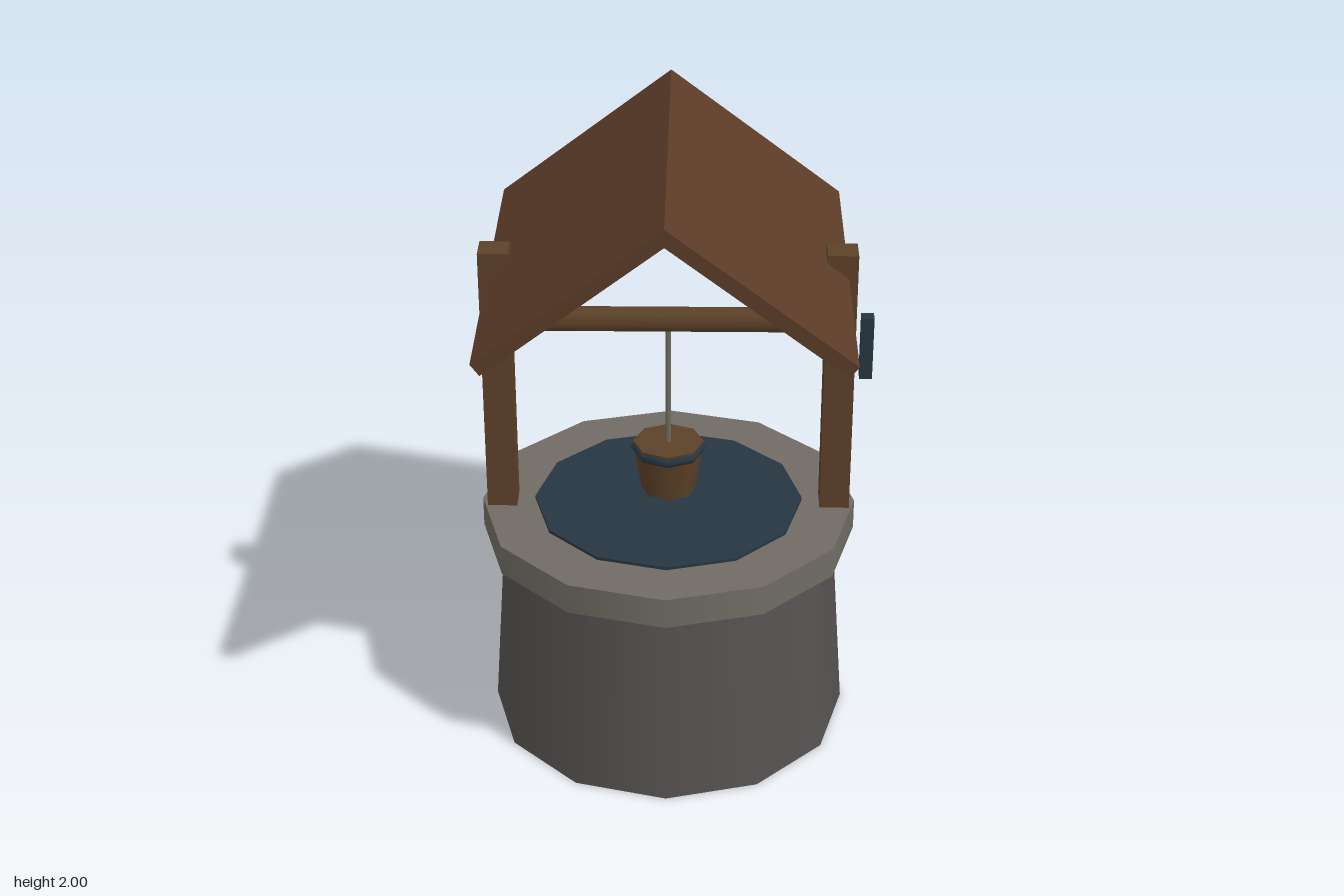
import * as THREE from 'three';

const mat = (name, color) => new THREE.MeshStandardMaterial({ name, color });

export function createModel() {
  const stone = mat('dark stone', 0x565251);
  const rimStone = mat('light stone', 0x706c64);
  const wood = mat('timber', 0x5c4128);
  const roofWood = mat('roof wood', 0x5a3b27);
  const darkBlue = mat('dark blue', 0x263641);
  const ropeMat = mat('rope', 0x706c5c);

  const model = new THREE.Group();
  model.name = 'well';
  const well = new THREE.Group();
  well.name = 'wellBody';
  well.position.x = -0.02; // the crank sticks out on the left
  model.add(well);

  const add = (name, geometry, material, x = 0, y = 0, z = 0) => {
    const mesh = new THREE.Mesh(geometry, material);
    mesh.name = name;
    mesh.position.set(x, y, z);
    well.add(mesh);
    return mesh;
  };
  // Cylinder standing between two heights
  const drum = (name, rTop, rBottom, y0, y1, sides, material) =>
    add(name, new THREE.CylinderGeometry(rTop, rBottom, y1 - y0, sides), material, 0, (y0 + y1) / 2);

  // Stone shaft, rim and water
  drum('stoneBase', 0.534, 0.582, 0, 0.68, 12, stone);
  drum('stoneRim', 0.602, 0.602, 0.665, 0.765, 12, rimStone);
  drum('water', 0.432, 0.432, 0.755, 0.775, 12, darkBlue);

  // Posts
  for (const [side, name] of [[-1, 'rightPost'], [1, 'leftPost']]) {
    add(name, new THREE.BoxGeometry(0.095, 0.905, 0.095), wood, side * 0.535, 1.2025, 0);
  }

  // Winding beam and crank handle
  const beam = add('windingBeam', new THREE.CylinderGeometry(0.041, 0.041, 1.04, 8), wood, 0, 1.415, 0);
  beam.rotation.z = Math.PI / 2;
  add('crankHandle', new THREE.BoxGeometry(0.04, 0.21, 0.04), darkBlue, 0.62, 1.325, 0);

  // Rope and bucket
  drum('rope', 0.01, 0.01, 0.97, 1.4, 6, ropeMat);
  drum('bucket', 0.113, 0.087, 0.81, 0.982, 8, wood);
  const band = add('bucketBand', new THREE.TorusGeometry(0.104, 0.017, 6, 8), darkBlue, 0, 0.96, 0);
  band.rotation.x = Math.PI / 2;

  // Pitched roof: a chevron section swept front to back
  const half = [[0.555, 1.578], [0.528, 1.542]];
  const section = new THREE.Shape([
    [0, 2], [-half[0][0], half[0][1]], [-half[1][0], half[1][1]],
    [0, 1.945], half[1], half[0],
  ].map(([x, y]) => new THREE.Vector2(x, y)));
  add('roof', new THREE.ExtrudeGeometry(section, { depth: 1.266, bevelEnabled: false }), roofWood, 0, 0, -0.633);

  return model;
}
